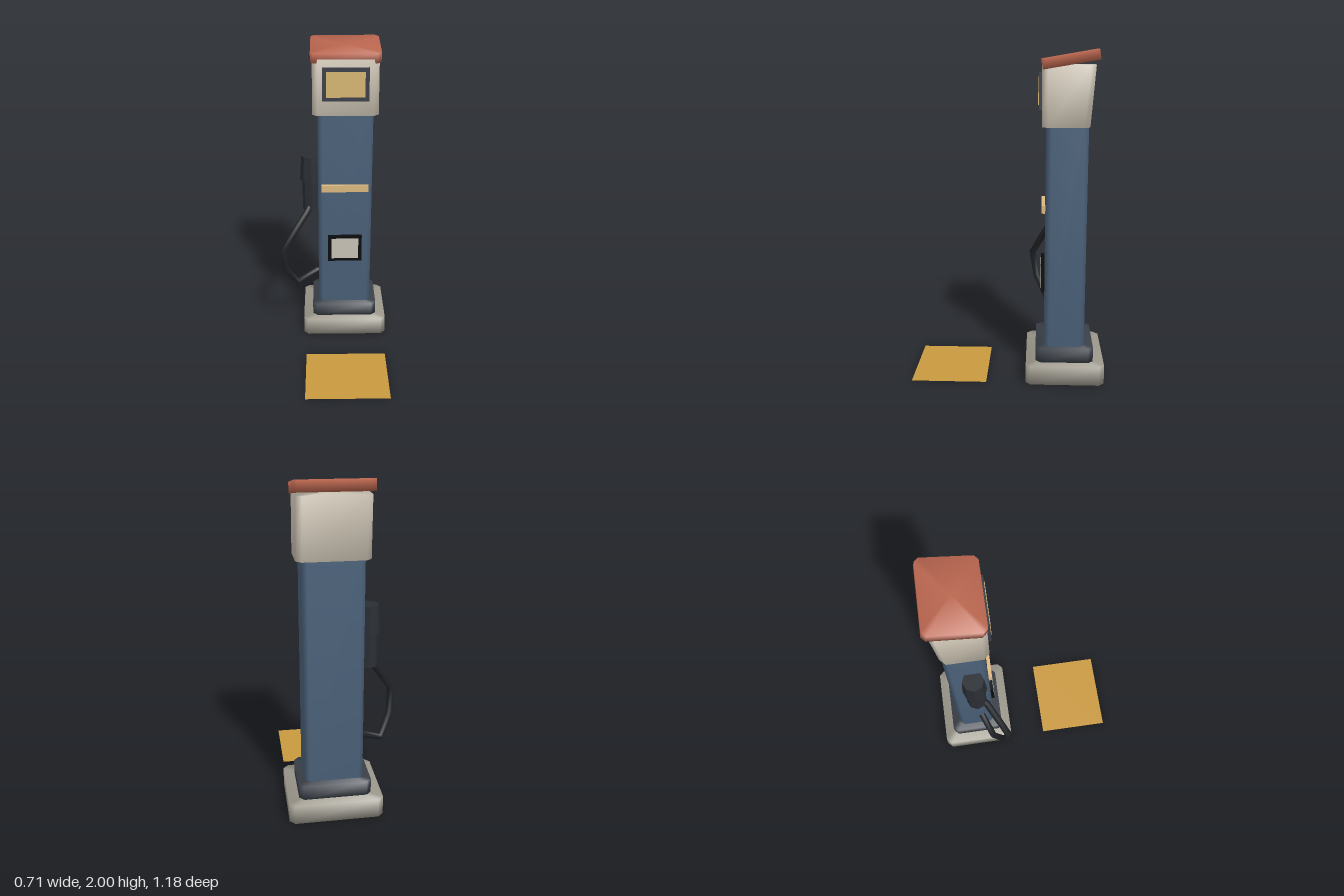
import * as THREE from 'three';

const mat = (color, extra = {}) => {
  const m = new THREE.MeshStandardMaterial({ color });
  return Object.assign(m, extra);
};

// Smooth-shaded block with chamfered upright edges; each ring is [y, x0, x1, z0, z1]
function chamferBlock(rings, c) {
  const pos = [], idx = [], n = 8;
  for (const [y, x0, x1, z0, z1] of rings) {
    const outline = [
      [x0 + c, z1], [x1 - c, z1], [x1, z1 - c], [x1, z0 + c],
      [x1 - c, z0], [x0 + c, z0], [x0, z0 + c], [x0, z1 - c],
    ];
    for (const [x, z] of outline) pos.push(x, y, z);
  }
  // side walls
  for (let r = 0; r < rings.length - 1; r++) {
    for (let i = 0; i < n; i++) {
      const a = r * n + i, b = r * n + (i + 1) % n;
      idx.push(a, b, b + n, a, b + n, a + n);
    }
  }
  // fan caps around a centre point
  const last = rings.length - 1;
  for (const r of [0, last]) {
    const [y, x0, x1, z0, z1] = rings[r];
    const centre = pos.length / 3;
    pos.push((x0 + x1) / 2, y, (z0 + z1) / 2);
    for (let i = 0; i < n; i++) {
      const a = r * n + i, b = r * n + (i + 1) % n;
      if (r === last) idx.push(centre, a, b);
      else idx.push(centre, b, a);
    }
  }
  const g = new THREE.BufferGeometry();
  g.setAttribute('position', new THREE.Float32BufferAttribute(pos, 3));
  g.setIndex(idx);
  g.computeVertexNormals();
  return g;
}

// Box given by its limits on each axis
function boxBetween(x0, x1, y0, y1, z0, z1) {
  return new THREE.BoxGeometry(x1 - x0, y1 - y0, z1 - z0)
    .translate((x0 + x1) / 2, (y0 + y1) / 2, (z0 + z1) / 2);
}

export function createModel() {
  const group = new THREE.Group();
  const add = (name, geometry, material) => {
    const mesh = new THREE.Mesh(geometry, material);
    mesh.name = name;
    group.add(mesh);
    return mesh;
  };
  const straight = (y0, y1, ...sides) => [[y0, ...sides], [y1, ...sides]];

  // Stepped foot and column
  add('base', chamferBlock(straight(0, 0.117, -0.21, 0.355, -0.59, -0.112), 0.032), mat(0x9c988c));
  add('plinth', chamferBlock(straight(0.117, 0.205, -0.147, 0.29, -0.525, -0.172), 0.03), mat(0x3a4049));
  add('column', chamferBlock(straight(0.205, 1.56, -0.105, 0.25, -0.47, -0.225), 0.028), mat(0x4a6078));

  // Head, deeper at the top
  add('head', chamferBlock([
    [1.555, -0.138, 0.282, -0.475, -0.198],
    [1.91, -0.135, 0.279, -0.503, -0.195],
  ], 0.033), mat(0xc9c0b0));

  // Roof slab, rising towards the back
  const roof = add('roof', chamferBlock(straight(-0.031, 0.031, -0.218, 0.218, -0.166, 0.166), 0.024), mat(0xb8654e));
  roof.position.set(0.072, 1.94, -0.358);
  roof.rotation.x = 0.168;

  // Display on the head
  add('displayFrame', boxBetween(-0.073, 0.217, 1.653, 1.86, -0.2, -0.178), mat(0x3b3f48));
  add('displayScreen', boxBetween(-0.05, 0.192, 1.678, 1.836, -0.19, -0.174), mat(0xd6b673));

  // Trim bar and lower panel on the column
  add('trimBar', boxBetween(-0.083, 0.225, 1.04, 1.086, -0.222, -0.2), mat(0xdcb880));
  add('panelFrame', boxBetween(-0.04, 0.187, 0.532, 0.72, -0.222, -0.202), mat(0x0b0c0d));
  add('panelFace', boxBetween(-0.017, 0.164, 0.553, 0.7, -0.215, -0.199), mat(0xc8c2b5));

  // Nozzle on the side: grip below, wider head above
  const grip = new THREE.CylinderGeometry(0.062, 0.062, 0.22, 8).toNonIndexed();
  const nozzle = new THREE.CylinderGeometry(0.066, 0.076, 0.17, 8).toNonIndexed();
  const dark = mat(0x2a2e34, { flatShading: true });
  add('nozzleGrip', grip, dark).position.set(-0.147, 0.99, -0.315);
  add('nozzleHead', nozzle, dark).position.set(-0.148, 1.172, -0.315);

  // Hose: one straight piece between each pair of path points
  const path = new THREE.CatmullRomCurve3([
    [-0.145, 0.93, -0.3], [-0.18, 0.875, -0.255], [-0.258, 0.765, -0.2], [-0.335, 0.645, -0.145],
    [-0.327, 0.485, -0.172], [-0.253, 0.35, -0.243], [-0.108, 0.415, -0.305],
  ].map(p => new THREE.Vector3(...p)));
  path.getPointAt = path.getPoint;
  path.getTangentAt = path.getTangent;
  add('hose', new THREE.TubeGeometry(path, 6, 0.022, 8), mat(0x202327, { side: THREE.DoubleSide }));

  // Flat ground marking in front
  const marking = new THREE.PlaneGeometry(0.525, 0.46).rotateX(-Math.PI / 2);
  add('groundMarking', marking, mat(0xc8983e, { side: THREE.DoubleSide })).position.set(0.073, 0.002, 0.36);

  return group;
}
